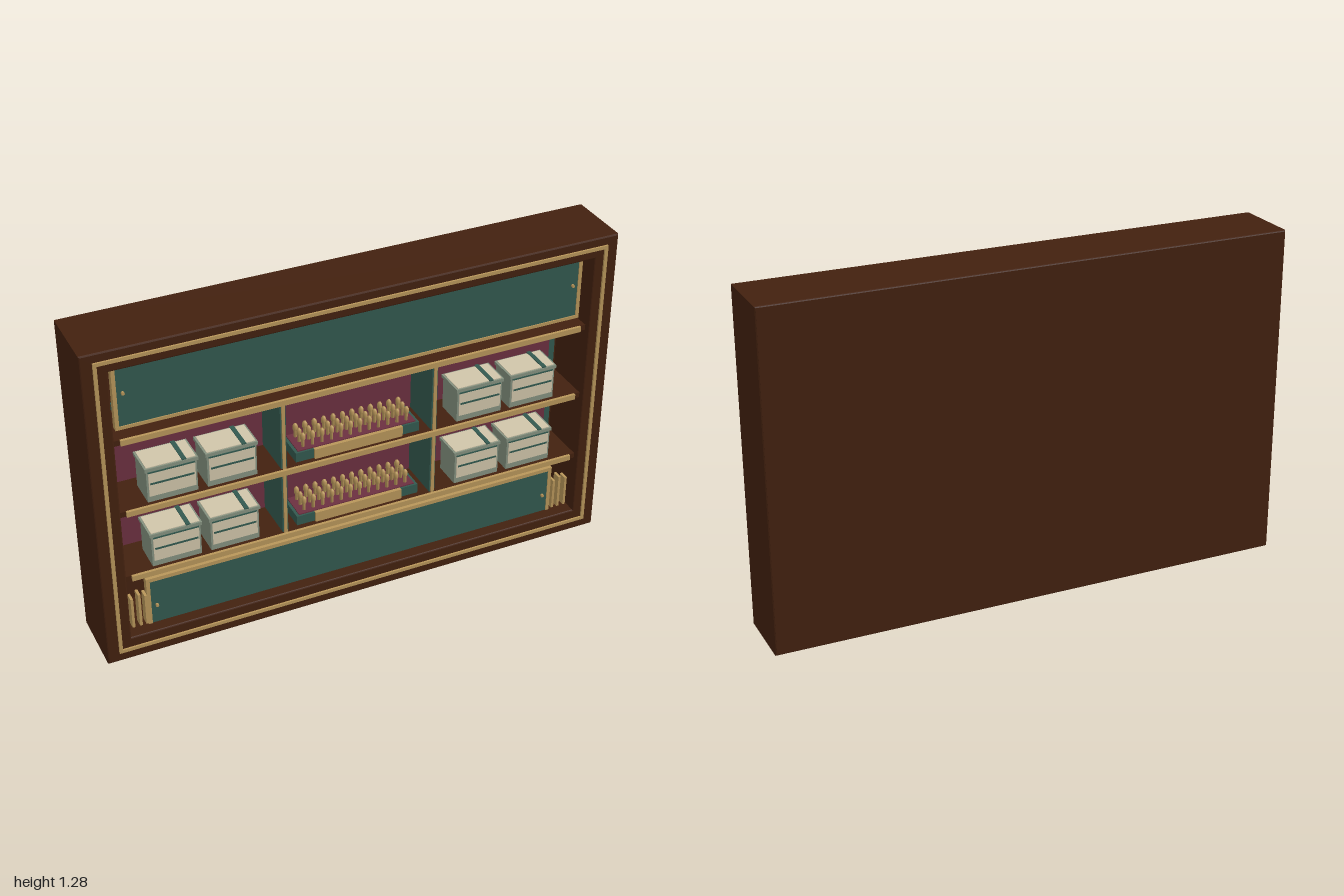
import * as THREE from 'three';

const paint = (name, color) => {
  const m = new THREE.MeshStandardMaterial({ color });
  m.name = name;
  return m;
};

export function createModel() {
  const wood = paint('dark walnut', 0x43210f);
  const brass = paint('brass', 0xb8965a);
  const teal = paint('teal', 0x33594f);
  const plum = paint('plum velvet', 0x6c3040);
  const cream = paint('cream card', 0xd0c5aa);
  const sage = paint('sage grey', 0x84917f);

  const model = new THREE.Group();
  model.name = 'displayCabinet';

  // Box given by its limits on each axis
  const box = (parent, name, mat, x0, x1, y0, y1, z0, z1) => {
    const mesh = new THREE.Mesh(new THREE.BoxGeometry(x1 - x0, y1 - y0, z1 - z0), mat);
    mesh.position.set((x0 + x1) / 2, (y0 + y1) / 2, (z0 + z1) / 2);
    mesh.name = name;
    parent.add(mesh);
    return mesh;
  };
  const group = (name, x = 0, y = 0, z = 0) => {
    const g = new THREE.Group();
    g.name = name;
    g.position.set(x, y, z);
    model.add(g);
    return g;
  };
  // Rectangular ring extruded along z
  const ring = (name, mat, outer, inner, z0, z1, bevel = 0) => {
    const rect = (p, [x, y0, y1]) =>
      p.moveTo(-x, y0).lineTo(x, y0).lineTo(x, y1).lineTo(-x, y1).closePath();
    const shape = rect(new THREE.Shape(), outer);
    shape.holes.push(rect(new THREE.Path(), inner));
    const geo = new THREE.ExtrudeGeometry(shape, {
      depth: z1 - z0 - 2 * bevel, bevelEnabled: bevel > 0, bevelSize: bevel,
      bevelThickness: bevel, bevelOffset: -bevel, bevelSegments: 2,
    });
    geo.translate(0, 0, z0 + bevel);
    const mesh = new THREE.Mesh(geo, mat);
    mesh.name = name;
    model.add(mesh);
  };

  // Case with brass inlay around the front
  ring('caseFrame', wood, [1, 0, 1.28], [0.907, 0.09, 1.2], -0.134, 0.128, 0.005);
  box(model, 'caseBack', wood, -0.995, 0.995, 0.005, 1.275, -0.135, -0.085);
  ring('brassInlay', brass, [0.957, 0.038, 1.247], [0.944, 0.051, 1.234], 0.12, 0.135);

  // Lined back wall
  box(model, 'tealBacking', teal, -0.895, 0.895, 0.29, 0.945, -0.086, -0.074);
  box(model, 'velvetBacking', plum, -0.868, 0.868, 0.34, 0.9, -0.075, -0.068);

  // Shelves with brass lips
  const shelfTops = [0.35, 0.627, 0.92];
  for (const y of shelfTops) {
    box(model, 'shelf', wood, -0.905, 0.905, y - 0.022, y - 0.001, -0.08, 0.108);
    box(model, 'shelfLip', brass, -0.882, 0.882, y - 0.021, y, 0.106, 0.117);
  }

  // Upright dividers
  for (const x of [-0.295, 0.295]) {
    for (const y of shelfTops.slice(0, 2)) {
      const top = y + (y < 0.5 ? 0.256 : 0.272);
      box(model, 'divider', teal, x - 0.011, x + 0.011, y, top, -0.07, 0.1);
      box(model, 'dividerEdge', brass, x - 0.006, x + 0.006, y, top, 0.098, 0.106);
    }
  }

  // Upper and lower flap panels with brass edging and small knobs
  const flap = (name, x, y0, y1, z, edgeY0, edgeY1) => {
    const g = group(name);
    box(g, 'panel', teal, -x, x, y0, y1, z - 0.02, z);
    box(g, 'longEdge', brass, -x - 0.013, x + 0.013, edgeY0, edgeY1, z - 0.022, z + 0.004);
    for (const s of [-1, 1]) {
      const ex = s * (x + 0.006);
      box(g, 'sideEdge', brass, ex - 0.007, ex + 0.007, y0, y1, z - 0.022, z + 0.003);
      const knob = new THREE.Mesh(new THREE.CylinderGeometry(0.006, 0.006, 0.012, 12), brass);
      knob.rotation.x = Math.PI / 2;
      knob.position.set(s * (x - 0.022), y0 + (y1 - y0) * 0.52 - (y0 < 0.5 ? 0.02 : 0), z + 0.003);
      knob.name = 'knob';
      g.add(knob);
    }
  };
  flap('upperFlap', 0.874, 0.955, 1.2, 0.083, 0.943, 0.955);
  flap('lowerFlap', 0.812, 0.09, 0.278, 0.08, 0.276, 0.291);

  // Slim brass slats beside the lower flap
  for (const s of [-1, 1]) {
    [[0.885, 0.232], [0.857, 0.243], [0.833, 0.232]].forEach(([x, top]) =>
      box(model, 'slat', brass, s * x - 0.005, s * x + 0.005, 0.105, top, 0.06, 0.095));
  }

  // Lidded card boxes
  const cardBox = (x, y) => {
    const g = group('cardBox', x, y);
    box(g, 'body', sage, -0.092, 0.092, 0, 0.128, -0.02, 0.092);
    box(g, 'lid', sage, -0.097, 0.097, 0.126, 0.139, -0.025, 0.096);
    box(g, 'lidCard', cream, -0.09, 0.09, 0.138, 0.142, -0.018, 0.09);
    box(g, 'lidBand', teal, 0.038, 0.054, 0.14, 0.145, -0.024, 0.095);
    box(g, 'frontCard', cream, -0.085, 0.085, 0.024, 0.118, 0.091, 0.095);
    box(g, 'frontStripe', teal, -0.08, 0.08, 0.072, 0.079, 0.094, 0.097);
    box(g, 'topStripe', teal, -0.085, 0.085, 0.118, 0.123, 0.091, 0.095);
  };

  // Peg trays: drawer body, velvet top and three rows of turned pegs
  const pegGeo = new THREE.LatheGeometry(
    [[0, 0], [0.006, 0], [0.006, 0.025], [0.0095, 0.033], [0.0095, 0.048], [0.005, 0.056], [0, 0.058]]
      .map(([r, h]) => new THREE.Vector2(r, h)), 10);
  const pegTray = (y) => {
    const g = group('pegTray', 0, y);
    box(g, 'trayBody', teal, -0.243, 0.243, 0, 0.038, -0.035, 0.085);
    box(g, 'trayVelvet', plum, -0.232, 0.232, 0.037, 0.042, -0.03, 0.078);
    box(g, 'trayPlate', brass, -0.173, 0.173, 0, 0.04, 0.08, 0.094);
    for (let row = 0; row < 3; row++) {
      for (let i = 0; i < 12; i++) {
        const peg = new THREE.Mesh(pegGeo, brass);
        peg.position.set((i - 5.5) * 0.037, 0.041, -0.01 + row * 0.034);
        peg.name = 'peg';
        g.add(peg);
      }
    }
  };

  for (const y of shelfTops.slice(0, 2)) {
    for (const x of [-0.705, -0.485, 0.485, 0.705]) cardBox(x, y);
    pegTray(y);
  }
  return model;
}
